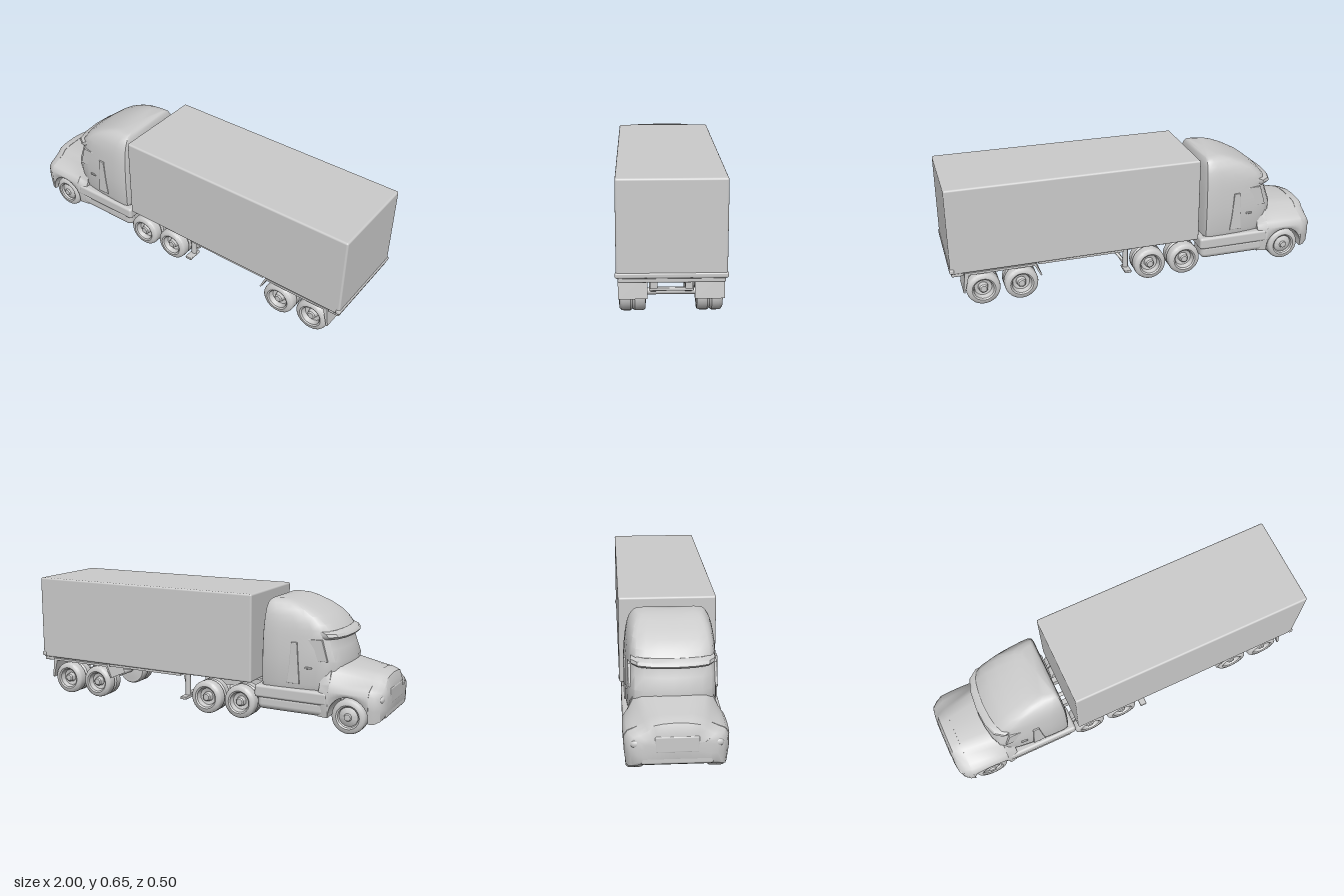
import * as THREE from 'three';
import { toCreasedNormals } from 'three/addons/utils/BufferGeometryUtils.js';
import { RoundedBoxGeometry } from 'three/addons/geometries/RoundedBoxGeometry.js';

const mat = new THREE.MeshStandardMaterial({ color: 0xcccccc, side: THREE.DoubleSide });

export function createModel() {
  const truck = new THREE.Group();
  truck.name = 'semiTruck';

  const add = (name, geo, parent = truck) => {
    const m = new THREE.Mesh(geo, mat);
    m.name = name;
    parent.add(m);
    return m;
  };
  // box from its limits, with optional rounded edges
  const box = (name, x0, x1, y0, y1, z0, z1, r = 0) => {
    const s = [x1 - x0, y1 - y0, z1 - z0];
    const m = add(name, r ? new RoundedBoxGeometry(...s, 3, r) : new THREE.BoxGeometry(...s));
    m.position.set((x0 + x1) / 2, (y0 + y1) / 2, (z0 + z1) / 2);
    return m;
  };
  // bar of round section between two points
  const rod = (name, a, b, r) => {
    const path = new THREE.LineCurve3(new THREE.Vector3(...a), new THREE.Vector3(...b));
    const m = add(name, new THREE.CylinderGeometry(r, r, path.getLength(), 14));
    m.position.copy(path.getPoint(0.5));
    m.quaternion.setFromUnitVectors(new THREE.Vector3(0, 1, 0), path.getTangent(0));
    return m;
  };
  // side outline in x, y extruded between z0 and z1
  const plate = (name, pts, z0, z1, bevel = 0) => {
    const geo = new THREE.ExtrudeGeometry(new THREE.Shape(pts.map(p => new THREE.Vector2(...p))), {
      depth: z1 - z0, bevelEnabled: bevel > 0, bevelSize: bevel, bevelThickness: bevel, bevelSegments: 2,
    });
    return add(name, geo.translate(0, 0, z0));
  };
  // closed skin over rings of equal point count, both ends capped
  const loft = (rings, crease = 0.6) => {
    const n = rings[0].length, pos = rings.flat(2), idx = [];
    const at = i => new THREE.Vector3().fromArray(pos, i * 3);
    for (let r = 0; r < rings.length - 1; r++) for (let i = 0; i < n; i++) {
      const a = r * n + i, b = r * n + (i + 1) % n;
      idx.push(a, b, b + n, a, b + n, a + n);
    }
    [0, rings.length - 1].forEach((r, end) => {
      const c = pos.length / 3;
      for (let k = 0; k < 3; k++) pos.push(rings[r].reduce((s, p) => s + p[k] / n, 0));
      for (let i = 0; i < n; i++) {
        const a = r * n + i, b = r * n + (i + 1) % n;
        end ? idx.push(a, b, c) : idx.push(b, a, c);
      }
    });
    let volume = 0;
    for (let i = 0; i < idx.length; i += 3) volume += at(idx[i]).dot(at(idx[i + 1]).cross(at(idx[i + 2])));
    if (volume < 0) idx.reverse();
    const g = new THREE.BufferGeometry();
    g.setAttribute('position', new THREE.Float32BufferAttribute(pos, 3));
    g.setIndex(idx);
    return toCreasedNormals(g, crease);
  };
  // full ring from a half ring that starts and ends on the centre line
  const mirrorRing = half => [...half, ...half.slice(1, -1).reverse().map(([x, y, z]) => [x, y, -z])];

  // Cab and sleeper: level rings [y, front x, back x, half width]
  const cabRows = [
    [0.19, -0.75, -0.36, 0.218], [0.22, -0.77, -0.358, 0.224], [0.34, -0.778, -0.358, 0.225],
    [0.4, -0.755, -0.359, 0.224], [0.46, -0.735, -0.36, 0.22], [0.49, -0.735, -0.361, 0.217],
    [0.52, -0.71, -0.363, 0.213], [0.555, -0.665, -0.366, 0.206], [0.585, -0.607, -0.369, 0.196],
    [0.61, -0.545, -0.374, 0.18], [0.623, -0.5, -0.381, 0.165], [0.629, -0.46, -0.39, 0.14],
  ];
  const cabPlan = [[0, 0], [0.012, 0.3], [0.04, 0.6], [0.09, 0.8], [0.17, 0.89], [0.3, 0.935],
    [0.5, 0.975], [0.75, 1], [0.92, 1], [0.975, 0.97], [1, 0.88], [1, 0]];
  add('cab', loft(cabRows.map(([y, f, b, w]) =>
    mirrorRing(cabPlan.map(([t, s]) => [f + (b - f) * t, y, w * s])))));

  // Sun visor wraps round the top of the windshield
  const visorRing = (y, x, w) => mirrorRing([[x, y, 0], [x + 0.008, y, w * 0.5], [x + 0.03, y, w * 0.85],
    [x + 0.07, y, w], [x + 0.1, y, w], [x + 0.1, y, 0]]);
  add('sunVisor', loft([visorRing(0.45, -0.765, 0.188), visorRing(0.462, -0.775, 0.195),
    visorRing(0.477, -0.765, 0.197), visorRing(0.49, -0.735, 0.194)]));

  // Hood and fenders: upright rings whose lower edge follows the wheel arch
  const wheelX = -0.826, wheelR = 0.087, archR = 0.102;
  const noseRows = [ // x, top, half width, hood half width, shoulder, bottom
    [-0.999, 0.215, 0.15, 0.1, 0.185, 0.12], [-0.994, 0.25, 0.18, 0.115, 0.2, 0.1],
    [-0.98, 0.283, 0.208, 0.127, 0.213, 0.08], [-0.955, 0.292, 0.226, 0.137, 0.222, 0.067],
    [-0.928, 0.299, 0.236, 0.145, 0.228, 0.067],
  ];
  for (let i = 0; i <= 14; i++) {
    const t = -Math.cos(i / 14 * Math.PI), x = wheelX + archR * t;
    noseRows.push([x, 0.314 + 0.017 * t, 0.242 - 0.004 * t * t, 0.165 + 0.02 * t, 0.23,
      0.085 + archR * Math.sqrt(Math.max(0, 1 - t * t))]);
  }
  noseRows.push([-0.722, 0.335, 0.238, 0.19, 0.226, 0.07], [-0.67, 0.335, 0.228, 0.19, 0.215, 0.07]);
  add('hoodAndFenders', loft(noseRows.map(([x, t, w, h, s, b]) => mirrorRing([
    [x, t, 0], [x, t - 0.004, h * 0.5], [x, t - 0.012, h * 0.82], [x, t - 0.035, h],
    [x, s + 0.012, (h + w) / 2], [x, s, w * 0.93], [x, Math.max(s - 0.025, b + 0.006), w],
    [x, (Math.max(s - 0.025, b + 0.006) + b) / 2, w], [x, b, w * 0.97], [x, b, 0],
  ])), 0.7));
  box('grille', -1, -0.97, 0.145, 0.225, -0.1, 0.1, 0.008);
  box('bumper', -0.998, -0.95, 0.085, 0.13, -0.165, 0.165, 0.015);

  // Wheels: profile [radius, distance towards the outside], dual ones have a groove
  const wheelProfile = (width, dual) => {
    const r = wheelR, p = [[0, 0], [0.045, 0], [0.062, 0.003], [0.08, 0.004], [r - 0.002, 0.011], [r, 0.02]];
    if (dual) p.push([r, width / 2 - 0.01], [r - 0.008, width / 2], [r, width / 2 + 0.01]);
    p.push([r, width - 0.02], [r - 0.003, width - 0.009], [0.076, width - 0.002], [0.06, width], [0.052, width - 0.005]);
    if (dual) p.push([0.044, width - 0.03], [0.026, width - 0.035], [0.022, width - 0.012], [0.016, width - 0.006], [0, width - 0.005]);
    else p.push([0.048, width - 0.016], [0.032, width - 0.008], [0.02, width - 0.005], [0.016, width + 0.004], [0, width + 0.006]);
    return p.map(v => new THREE.Vector2(...v));
  };
  const wheelGeo = (width, dual) => toCreasedNormals(
    new THREE.LatheGeometry(wheelProfile(width, dual), 32).rotateX(Math.PI / 2), 0.6);
  const dualGeo = wheelGeo(0.122, true), frontGeo = wheelGeo(0.085, false);
  const axle = (name, x, geo, inner) => {
    for (const s of [1, -1]) {
      const w = add(name + 'Wheel', geo);
      w.position.set(x, wheelR, s * inner);
      if (s < 0) w.rotation.y = Math.PI;
    }
    rod(name + 'Axle', [x, wheelR, -inner - 0.01], [x, wheelR, inner + 0.01], 0.016);
  };
  axle('steer', wheelX, frontGeo, 0.145);
  for (const x of [-0.243, -0.05]) {
    axle('drive', x, dualGeo, 0.112);
    add('differential', new THREE.SphereGeometry(0.034, 16, 12)).position.set(x, wheelR, 0);
  }
  for (const x of [0.64, 0.835]) axle('trailer', x, dualGeo, 0.112);
  rod('driveShaft', [-0.6, 0.12, 0], [-0.05, 0.09, 0], 0.012);

  // Trailer body
  box('trailerBox', -0.315, 0.995, 0.2, 0.652, -0.245, 0.245, 0.01);
  box('trailerRearFrame', 0.975, 0.999, 0.205, 0.23, -0.25, 0.25, 0.008);
  box('trailerRearSill', 0.93, 0.99, 0.181, 0.21, -0.237, 0.237, 0.008);
  box('fifthWheel', -0.24, -0.05, 0.175, 0.203, -0.09, 0.09, 0.008);
  box('cabFloor', -0.72, -0.36, 0.15, 0.2, -0.2, 0.2);
  plate('trailerBelly', [[0.06, 0.205], [0.09, 0.145], [0.54, 0.13], [0.58, 0.205]], -0.045, 0.045);

  // Parts on both sides
  for (const s of [1, -1]) {
    const side = (name, x0, x1, y0, y1, z0, z1, r) =>
      box(name, x0, x1, y0, y1, Math.min(s * z0, s * z1), Math.max(s * z0, s * z1), r);
    const sidePlate = (name, pts, z0, z1, bevel) =>
      plate(name, pts, Math.min(s * z0, s * z1), Math.max(s * z0, s * z1), bevel);

    const lamp = add('headlight', new THREE.SphereGeometry(0.02, 16, 10));
    lamp.scale.set(0.8, 1, 1.3);
    lamp.position.set(-0.977, 0.185, s * 0.183);

    // Side skirt: step above, rounded tank below
    side('sideStep', -0.72, -0.33, 0.13, 0.195, 0.1, 0.238, 0.014);
    side('fuelTank', -0.71, -0.34, 0.068, 0.15, 0.1, 0.23, 0.03);

    // Cab relief
    sidePlate('sleeperPanel', [[-0.565, 0.225], [-0.505, 0.225], [-0.515, 0.3], [-0.525, 0.425], [-0.55, 0.425]], 0.205, 0.222, 0.004);
    sidePlate('doorWindow', [[-0.705, 0.345], [-0.605, 0.345], [-0.605, 0.445], [-0.675, 0.445]], 0.19, 0.206, 0.003);
    side('doorHandle', -0.63, -0.595, 0.3, 0.31, 0.2, 0.222, 0.004);

    // Frame rails
    side('tractorRail', -0.9, 0.03, 0.13, 0.178, 0.055, 0.085);
    side('trailerRail', 0.5, 0.95, 0.14, 0.205, 0.062, 0.095);
    for (const x of [-0.243, -0.05, 0.64, 0.835]) {
      side('springBlock', x - 0.035, x + 0.035, 0.095, 0.145, 0.06, 0.098, 0.008);
    }
    side('sideSill', 0.1, 0.55, 0.187, 0.205, 0.19, 0.235);

    // Bent plate over the trailer wheels, ending in a mud flap
    sidePlate('trailerFender', [[0.535, 0.125], [0.542, 0.123], [0.572, 0.183], [0.905, 0.183], [0.93, 0.085],
      [0.938, 0.087], [0.925, 0.195], [0.565, 0.195]], 0.106, 0.238);

    // Landing gear
    rod('landingLeg', [0.078, 0.075, s * 0.19], [0.078, 0.205, s * 0.19], 0.014);
    side('landingFoot', 0.06, 0.096, 0.063, 0.078, 0.165, 0.245, 0.004);
    rod('landingBrace', [0.078, 0.1, s * 0.19], [0.17, 0.2, s * 0.08], 0.007);
  }
  rod('landingCrossbar', [0.078, 0.085, -0.19], [0.078, 0.085, 0.19], 0.009);
  box('trailerCrossMember', 0.72, 0.75, 0.11, 0.14, -0.11, 0.11, 0.006);
  box('rearCrossMember', 0.92, 0.94, 0.125, 0.14, -0.1, 0.1, 0.004);

  return truck;
}
